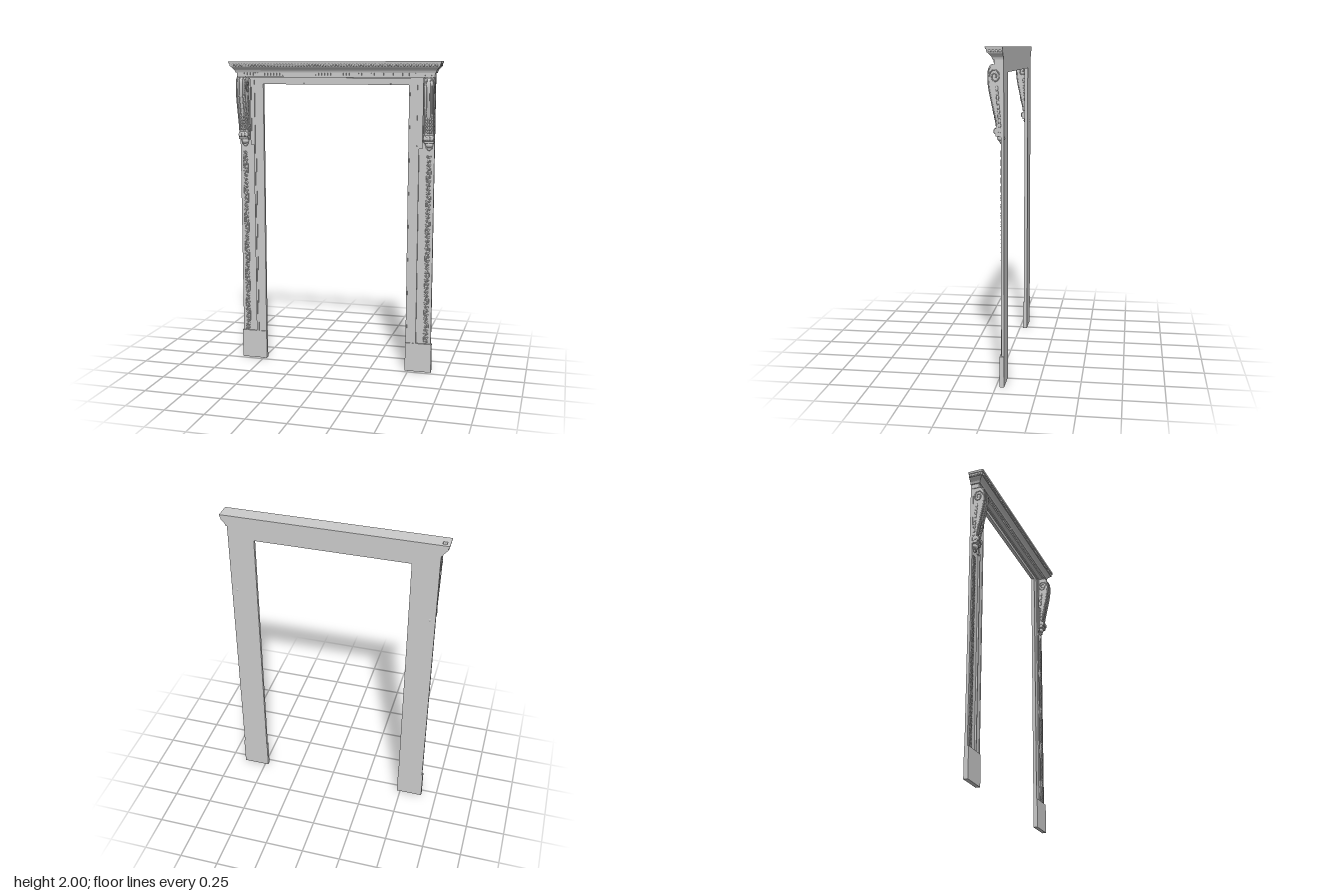
import * as THREE from 'three';
import { mergeGeometries } from 'three/addons/utils/BufferGeometryUtils.js';

const stone = new THREE.MeshStandardMaterial({ color: 0xcccccc });
const BACK = -0.05;

function add(parent, name, geometry, material = stone) {
  const mesh = new THREE.Mesh(geometry, material);
  mesh.name = name;
  parent.add(mesh);
  return mesh;
}

function box(w, h, d, x, y, z) {
  return new THREE.BoxGeometry(w, h, d).translate(x, y, z);
}

// Flattened ball used for carved leaves, eggs and buds
function blob(rx, ry, rz, x, y, z, tilt = 0) {
  return new THREE.SphereGeometry(1, 8, 6).scale(rx, ry, rz).rotateZ(tilt).translate(x, y, z);
}

function tube(points, radius, steps) {
  const curve = new THREE.CatmullRomCurve3(points.map(p => new THREE.Vector3(...p)));
  return new THREE.TubeGeometry(curve, steps, radius, 6);
}

// Door-shaped frame; "ear" steps the upper part outward above y = 1.46
function frame(outer, outerTop, inner, innerTop, y0, z0, z1, ear = 0, innerEar = ear) {
  const side = [[outer, y0], [outer, 1.46], [outer + ear, 1.46], [outer + ear, outerTop]];
  const hole = [[inner + innerEar, innerTop], [inner + innerEar, 1.475], [inner, 1.475], [inner, y0]];
  const mirror = list => list.map(([x, y]) => [-x, y]).reverse();
  const pts = [...side, ...mirror(side), ...mirror(hole), ...hole];
  const shape = new THREE.Shape(pts.map(p => new THREE.Vector2(...p)));
  return new THREE.ExtrudeGeometry(shape, { depth: z1 - z0, bevelEnabled: false }).translate(0, 0, z0);
}

// Cornice: rectangles stacked by height, growing to the front and both ends
function corniceGeometry(profile) {
  const pos = [], idx = [];
  for (const [y, out] of profile) {
    const x = 0.65 + out, z = 0.01 + out;
    pos.push(-x, y, BACK, -x, y, z, x, y, z, x, y, BACK);
  }
  for (let i = 0; i < profile.length - 1; i++) {
    for (let j = 0; j < 4; j++) {
      const a = i * 4 + j, b = i * 4 + (j + 1) % 4;
      idx.push(a, b, a + 4, b, b + 4, a + 4);
    }
  }
  idx.push(0, 2, 1, 0, 3, 2);
  const g = new THREE.BufferGeometry();
  g.setAttribute('position', new THREE.Float32BufferAttribute(pos, 3));
  g.setIndex(idx);
  const flat = g.toNonIndexed();
  flat.computeVertexNormals();
  return flat;
}

function rectPath(path, x0, x1, z0, z1) {
  path.moveTo(x0, -z1);
  path.lineTo(x1, -z1);
  path.lineTo(x1, -z0);
  path.lineTo(x0, -z0);
  path.closePath();
  return path;
}

function makeCornice() {
  const cornice = new THREE.Group();
  cornice.name = 'cornice';
  add(cornice, 'corniceMoulding', corniceGeometry([
    [1.9, -0.004], [1.93, -0.004], [1.93, 0.003], [1.937, 0.005], [1.944, 0.008], [1.952, 0.014],
    [1.96, 0.022], [1.967, 0.027], [1.967, 0.031], [1.986, 0.034], [1.986, 0.038], [2, 0.04],
  ]));

  // Top slab with a small pit near one end
  const top = rectPath(new THREE.Shape(), -0.69, 0.69, BACK, 0.05);
  top.holes.push(rectPath(new THREE.Path(), -0.67, -0.645, -0.03, -0.003));
  add(cornice, 'corniceTop', new THREE.ShapeGeometry(top).rotateX(-Math.PI / 2).translate(0, 2, 0));
  add(cornice, 'topPit', box(0.025, 0.02, 0.027, -0.6575, 1.99, -0.0165),
    new THREE.MeshStandardMaterial({ color: 0xcccccc, side: THREE.BackSide }));

  // Dentils under the moulding and a carved row along the rim
  const dentils = [], eggs = [];
  for (let i = -31; i <= 31; i++) dentils.push(box(0.011, 0.016, 0.007, i * 0.02, 1.92, 0.0085));
  for (let i = -33; i <= 33; i++) eggs.push(blob(0.008, 0.008, 0.004, i * 0.02, 1.977, 0.042));
  for (const s of [-1, 1]) {
    for (let i = 0; i < 4; i++) eggs.push(blob(0.004, 0.008, 0.008, s * 0.682, 1.977, -0.035 + i * 0.02));
  }
  add(cornice, 'dentils', mergeGeometries(dentils));
  add(cornice, 'rimCarving', mergeGeometries(eggs));
  return cornice;
}

function makeConsole() {
  const console = new THREE.Group();
  console.name = 'scrollConsole';

  // Side outline as [z, y], from top to foot
  const front = [[0.018, 1.9], [0.031, 1.885], [0.038, 1.86], [0.039, 1.81], [0.033, 1.76], [0.021, 1.7],
    [0.008, 1.64], [-0.003, 1.59], [-0.008, 1.555]];
  const shape = new THREE.Shape();
  shape.moveTo(-0.04, 1.9);
  shape.lineTo(...front[0]);
  shape.splineThru(front.slice(1).map(p => new THREE.Vector2(...p)));
  shape.lineTo(-0.014, 1.5);
  shape.lineTo(-0.04, 1.49);
  const body = new THREE.ExtrudeGeometry(shape, { depth: 0.062, bevelEnabled: false, curveSegments: 24 });
  add(console, 'consoleBody', body.rotateY(-Math.PI / 2).translate(0.031, 0, 0));

  // Ribs down the face
  const ribs = [-0.028, -0.012, 0.012, 0.028].map(x =>
    tube(front.map(([z, y]) => [x, y, z]), Math.abs(x) > 0.02 ? 0.005 : 0.0035, 30));
  add(console, 'faceRibs', mergeGeometries(ribs));

  // Leaves on the face and cheeks
  const leaves = [];
  for (let i = 0; i < 5; i++) {
    const y = 1.57 + i * 0.02, z = -0.005 + i * 0.0045;
    for (const s of [-1, 1]) leaves.push(blob(0.006, 0.017, 0.006, s * 0.012, y, z, -s * 0.5));
  }
  for (let i = 0; i < 9; i++) {
    const y = 1.56 + i * 0.026;
    for (const s of [-1, 1]) leaves.push(blob(0.004, 0.015, 0.008, s * 0.031, y, -0.026 + i * 0.002));
  }
  add(console, 'consoleLeaves', mergeGeometries(leaves));

  // Spiral on each cheek
  const spirals = [-1, 1].map(s => {
    const pts = [];
    for (let i = 0; i <= 20; i++) {
      const a = i * 0.55, r = 0.032 * (1 - i / 24);
      pts.push([s * 0.032, 1.835 + 1.3 * r * Math.sin(a), 0.001 + r * Math.cos(a)]);
    }
    return tube(pts, 0.0035, 50);
  });
  add(console, 'cheekSpirals', mergeGeometries(spirals));

  // Lower roll and stepped foot
  const roll = new THREE.CylinderGeometry(0.019, 0.019, 0.064, 16).rotateZ(Math.PI / 2).translate(0, 1.527, -0.012);
  const eye = new THREE.CylinderGeometry(0.008, 0.008, 0.07, 12).rotateZ(Math.PI / 2).translate(0, 1.527, -0.012);
  const buds = [-0.022, 0, 0.022].map(x => blob(0.011, 0.016, 0.007, x, 1.527, 0.004));
  add(console, 'lowerRoll', mergeGeometries([roll, eye, ...buds]));
  add(console, 'consoleFoot', mergeGeometries([
    box(0.066, 0.012, 0.04, 0, 1.504, -0.022),
    blob(0.026, 0.02, 0.024, 0, 1.485, -0.03),
    box(0.042, 0.01, 0.022, 0, 1.467, -0.033),
    blob(0.014, 0.012, 0.01, 0, 1.46, -0.033),
  ]));
  return console;
}

// Winding vine with alternating leaves, carved up the pilaster
function makeVine() {
  const y0 = 0.19, y1 = 1.42, count = 48, parts = [], path = [];
  const step = (y1 - y0) / count;
  for (let i = 0; i <= count; i++) {
    const s = i % 2 ? 1 : -1;
    path.push([s * 0.006, y0 + i * step, -0.03]);
    if (i === count) break;
    const y = y0 + (i + 0.5) * step;
    parts.push(blob(0.0055, 0.012, 0.004, s * 0.008, y, -0.031, -s * 0.6));
    parts.push(blob(0.004, 0.009, 0.004, -s * 0.009, y, -0.031, s * 0.7));
  }
  parts.push(tube(path, 0.003, count * 3));
  for (const x of [-0.0155, 0.0155]) parts.push(box(0.002, y1 - y0, 0.004, x, (y0 + y1) / 2, -0.032));
  return mergeGeometries(parts);
}

export function createModel() {
  const model = new THREE.Group();
  model.name = 'doorSurround';

  // Flat backing and stepped architrave with ears
  add(model, 'backing', frame(0.645, 1.95, 0.48, 1.855, 0, BACK, -0.033));
  add(model, 'innerFascia', frame(0.533, 1.882, 0.486, 1.861, 0.19, -0.033, -0.03));
  add(model, 'openingBead', frame(0.487, 1.862, 0.48, 1.855, 0.19, -0.033, -0.028));
  add(model, 'architraveBand', frame(0.546, 1.895, 0.533, 1.882, 0.19, -0.033, -0.026, 0.022, 0.008));
  add(model, 'architraveBead', frame(0.548, 1.898, 0.54, 1.889, 0.19, -0.033, -0.022, 0.022));

  model.add(makeCornice());

  // Plinth, carved pilaster and console on each side
  for (const s of [-1, 1]) {
    const side = new THREE.Group();
    side.name = s > 0 ? 'leftSide' : 'rightSide';
    add(side, 'plinth', box(0.172, 0.19, 0.027, s * 0.564, 0.095, -0.0365));
    add(side, 'pilasterVine', makeVine()).position.x = s * 0.611;
    const bracket = makeConsole();
    bracket.position.x = s * 0.611;
    side.add(bracket);
    model.add(side);
  }
  return model;
}
